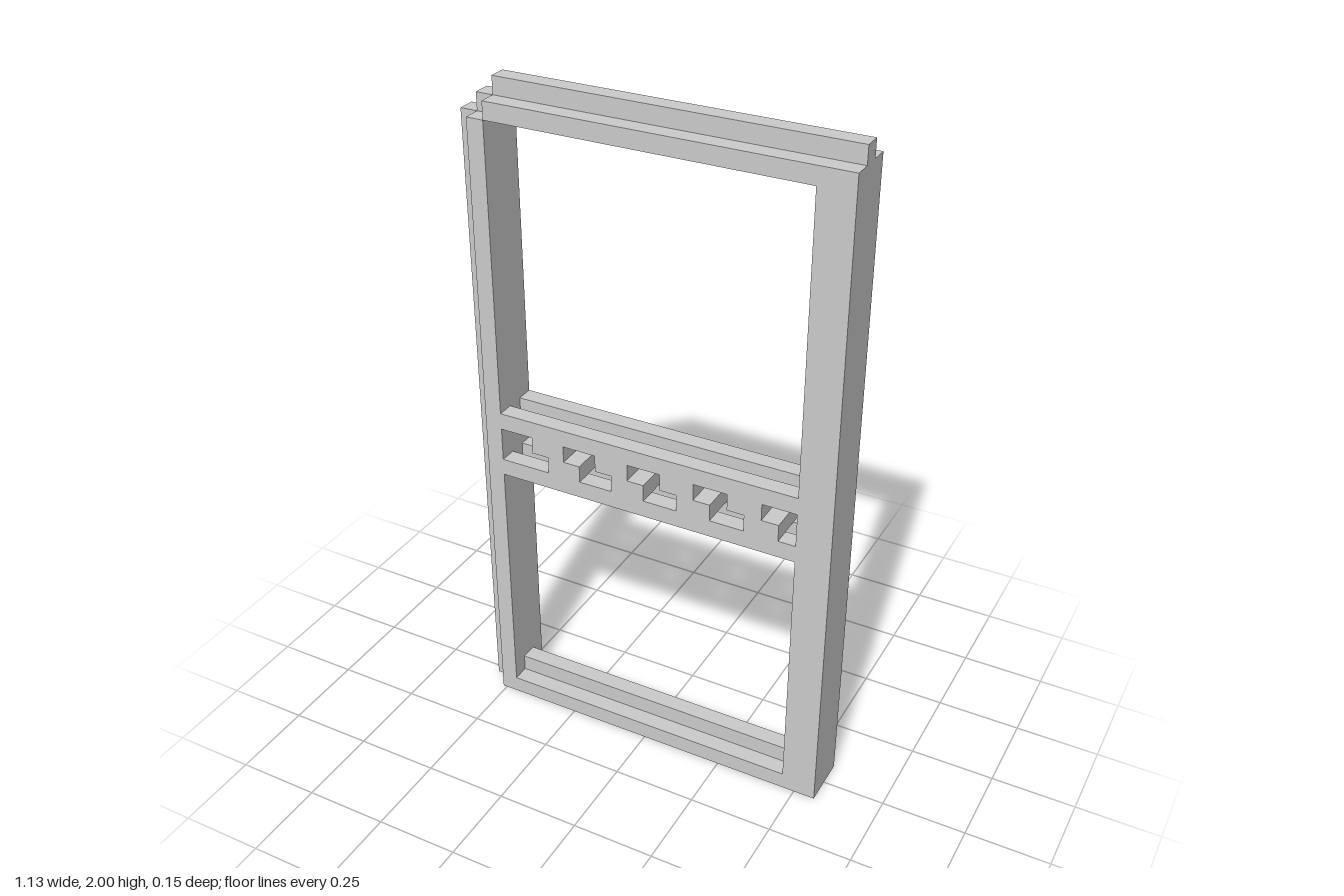
import * as THREE from 'three';

// One module of the grid: the frame is 39 modules tall, 22 wide, 3 deep
const U = 2 / 39;
const material = new THREE.MeshStandardMaterial({ color: 0xcccccc, flatShading: true });

const points = (list) => list.map(([x, y]) => new THREE.Vector2(x * U, y * U));
const rect = (x0, y0, x1, y1) => [[x0, y0], [x1, y0], [x1, y1], [x0, y1]];

// Flat layer one module thick, centred on z (in modules)
function layer(name, outline, holes, z) {
  const shape = new THREE.Shape(points(outline));
  for (const hole of holes) shape.holes.push(new THREE.Path(points(hole)));
  const geometry = new THREE.ExtrudeGeometry(shape, { depth: U, bevelEnabled: false });
  geometry.translate(0, 0, (z - 0.5) * U);
  const mesh = new THREE.Mesh(geometry, material);
  mesh.name = name;
  return mesh;
}

// Stepped fretwork outline: upper half spans a..b, lower half spans c..d
const step = (a, b, c, d) => [
  [c, 17], [d, 17], [d, 18], [b, 18], [b, 19], [a, 19], [a, 18], [c, 18],
];

export function createModel() {
  const group = new THREE.Group();
  group.name = 'windowFrame';

  // Fretwork openings in the middle rail; the end ones are cut off by the stiles
  const fretwork = [
    [[-9, 17], [-6, 17], [-6, 18], [-7, 18], [-7, 19], [-9, 19]],
    [[8, 17], [9, 17], [9, 19], [7, 19], [7, 18], [8, 18]],
  ];
  for (const x of [-5, -1, 3]) fretwork.push(step(x, x + 2, x + 1, x + 3));

  // Front and back layers with the two panel openings
  const faceOutline = [[-10, 0], [11, 0], [11, 38], [-9, 38], [-9, 37], [-10, 37]];
  const faceHoles = [rect(-9, 1, 9, 16), rect(-9, 20, 9, 37), ...fretwork];
  group.add(layer('frontFrame', faceOutline, faceHoles, 1));
  group.add(layer('backFrame', faceOutline, faceHoles, -1));

  // Core layer: tongues at the side and top, ridge on the sill, grooves in the middle rail
  const coreOutline = [
    [-11, 0], [11, 0], [11, 39], [-9, 39], [-9, 38], [-10, 38], [-10, 37], [-11, 37],
  ];
  group.add(layer('tongueCore', coreOutline, [rect(-9, 2, 9, 37)], 0));

  // Stepped blocks between the fretwork openings
  for (const x of [-7, -3, 1, 5]) {
    group.add(layer('fretworkBlock', step(x, x + 2, x + 1, x + 3), [], 0));
  }
  return group;
}
